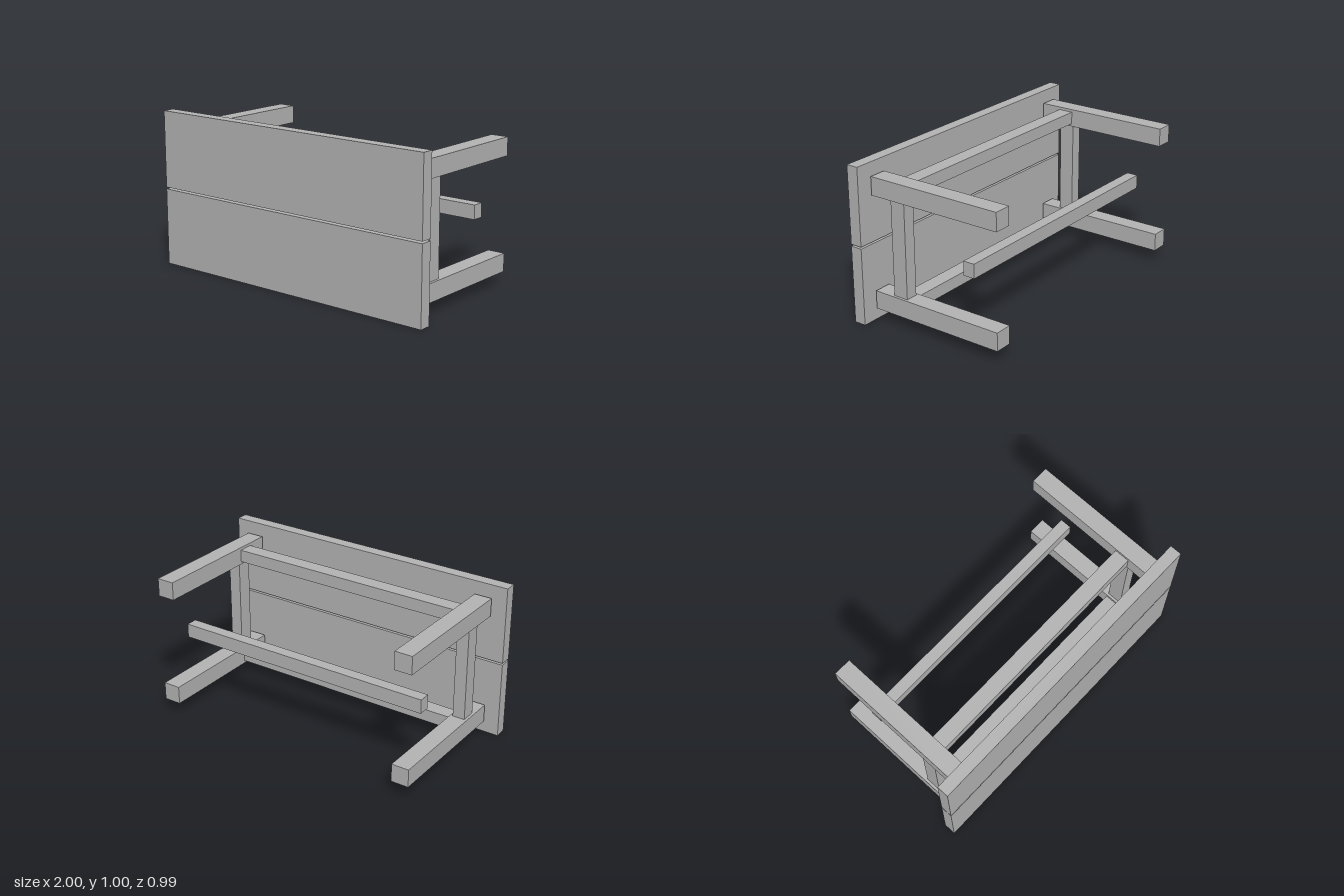
import * as THREE from 'three';

// A two-plank table lying on its side, with the tabletop facing +z.
export function createModel() {
  const group = new THREE.Group();
  const grey = new THREE.MeshStandardMaterial({ color: 0xb2b2b2 });
  grey.name = 'plain grey';

  // Box given by its extent along each axis
  function bar(name, [x0, x1], [y0, y1], [z0, z1]) {
    const mesh = new THREE.Mesh(new THREE.BoxGeometry(x1 - x0, y1 - y0, z1 - z0), grey);
    mesh.position.set((x0 + x1) / 2, (y0 + y1) / 2, (z0 + z1) / 2);
    mesh.name = name;
    group.add(mesh);
  }

  // Tabletop planks with a narrow gap between them
  bar('lowerPlank', [-1, 1], [0, 0.494], [0.42, 0.497]);
  bar('upperPlank', [-1, 1], [0.506, 1], [0.42, 0.497]);

  // Legs and long rails, on the lower and upper edge
  for (const [side, y] of [['lower', 0.138], ['upper', 0.862]]) {
    bar(side + 'RightLeg', [-0.907, -0.793], [y - 0.058, y + 0.058], [-0.497, 0.405]);
    bar(side + 'LeftLeg', [0.793, 0.907], [y - 0.058, y + 0.058], [-0.497, 0.405]);
    bar(side + 'LongRail', [-0.793, 0.793], [y - 0.04, y + 0.04], [0.176, 0.275]);
  }

  // Short rails joining the legs at each end
  bar('rightShortRail', [-0.89, -0.81], [0.196, 0.804], [0.176, 0.275]);
  bar('leftShortRail', [0.81, 0.89], [0.196, 0.804], [0.176, 0.275]);

  // Central stretcher
  bar('stretcher', [-0.86, 0.86], [0.455, 0.545], [-0.302, -0.227]);

  return group;
}
